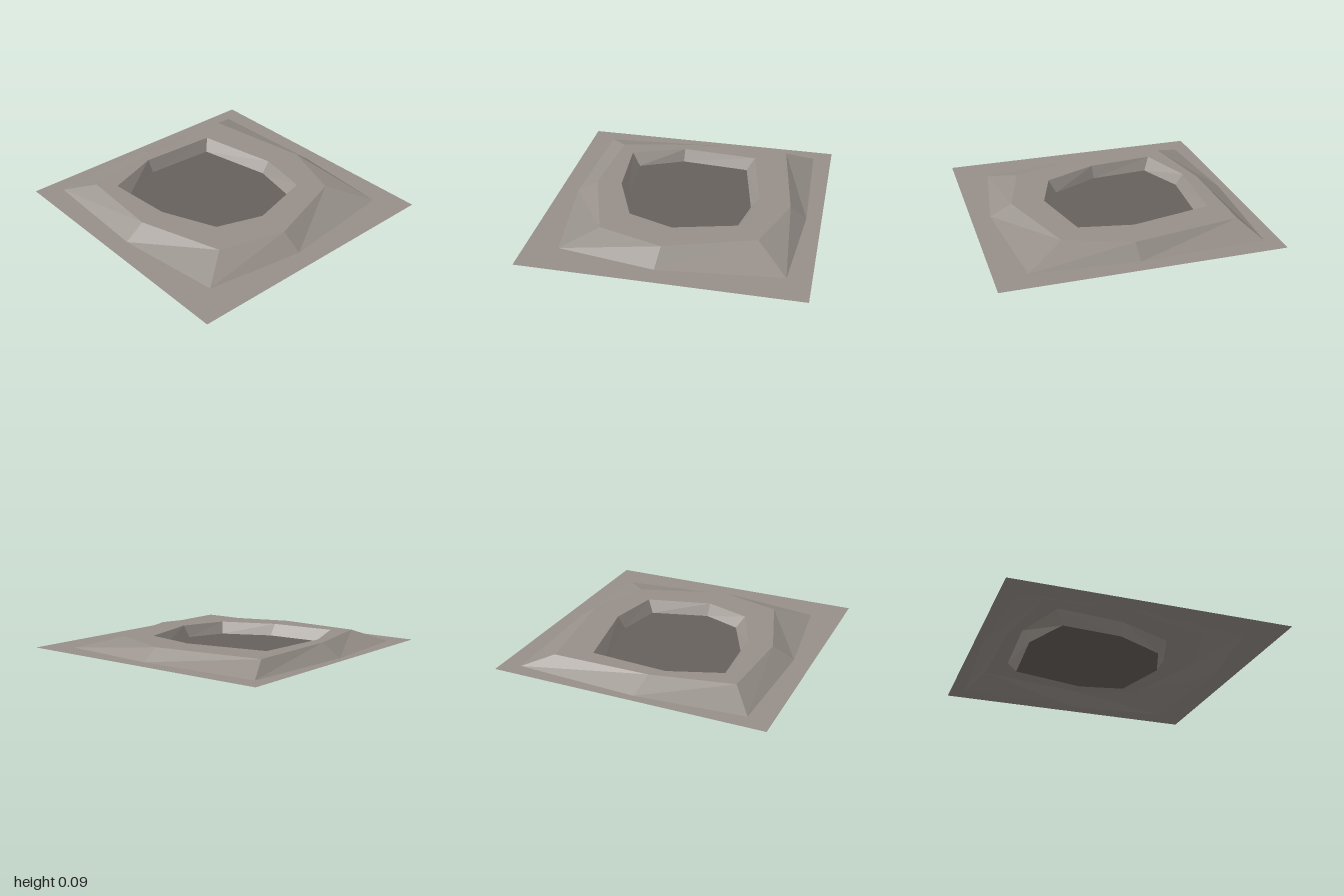
import * as THREE from 'three';

const TOP = 0.085;

// Eight-point outlines as [x, z], clockwise from the back corner at -x
const tileEdge = [[-1, -1], [0, -1], [1, -1], [1, 0], [1, 1], [0, 1], [-1, 1], [-1, 0]];
const moundFoot = [[-0.89, -0.86], [0.02, -0.89], [0.77, -0.83], [0.86, 0.05], [0.75, 0.76], [-0.02, 0.865], [-0.88, 0.83], [-0.94, 0.05]];
const moundTop = [[-0.78, -0.645], [0.02, -0.77], [0.49, -0.6], [0.7, 0.04], [0.56, 0.515], [-0.04, 0.71], [-0.66, 0.67], [-0.775, 0.08]];
const craterRim = [[-0.65, -0.41], [-0.05, -0.53], [0.335, -0.455], [0.46, 0.02], [0.345, 0.355], [-0.05, 0.525], [-0.54, 0.565], [-0.685, 0.165]];
const craterFoot = [[-0.595, -0.355], [-0.05, -0.47], [0.285, -0.4], [0.405, 0.02], [0.3, 0.3], [-0.05, 0.47], [-0.485, 0.495], [-0.63, 0.165]];

// Faceted strip joining an outer outline to an inner one
function band(outer, outerY, inner, innerY) {
  const points = [];
  const at = ([x, z], y) => new THREE.Vector3(x, y, z);
  outer.forEach((_, i) => {
    const j = (i + 1) % outer.length;
    const a = at(outer[i], outerY), b = at(outer[j], outerY);
    const c = at(inner[i], innerY), d = at(inner[j], innerY);
    points.push(a, c, b, b, c, d);
  });
  const geometry = new THREE.BufferGeometry().setFromPoints(points);
  geometry.computeVertexNormals();
  return geometry;
}

// Flat filled outline lying on the ground
function plate(outline) {
  const shape = new THREE.Shape(outline.map(([x, z]) => new THREE.Vector2(x, -z)));
  return new THREE.ShapeGeometry(shape).rotateX(-Math.PI / 2);
}

export function createModel() {
  const group = new THREE.Group();
  group.name = 'craterTile';
  const rock = new THREE.MeshStandardMaterial({ color: 0x968f89, side: THREE.DoubleSide });
  rock.name = 'rock';
  const darkRock = new THREE.MeshStandardMaterial({ color: 0x66615d, side: THREE.DoubleSide });
  darkRock.name = 'darkRock';

  const add = (name, geometry, material) => {
    const mesh = new THREE.Mesh(geometry, material);
    mesh.name = name;
    group.add(mesh);
  };

  add('ground', band(tileEdge, 0, moundFoot, 0), rock);
  add('outerSlope', band(moundFoot, 0, moundTop, TOP), rock);
  add('moundTop', band(moundTop, TOP, craterRim, TOP), rock);
  add('craterWall', band(craterRim, TOP, craterFoot, 0), rock);
  add('craterFloor', plate(craterFoot), darkRock);
  return group;
}
